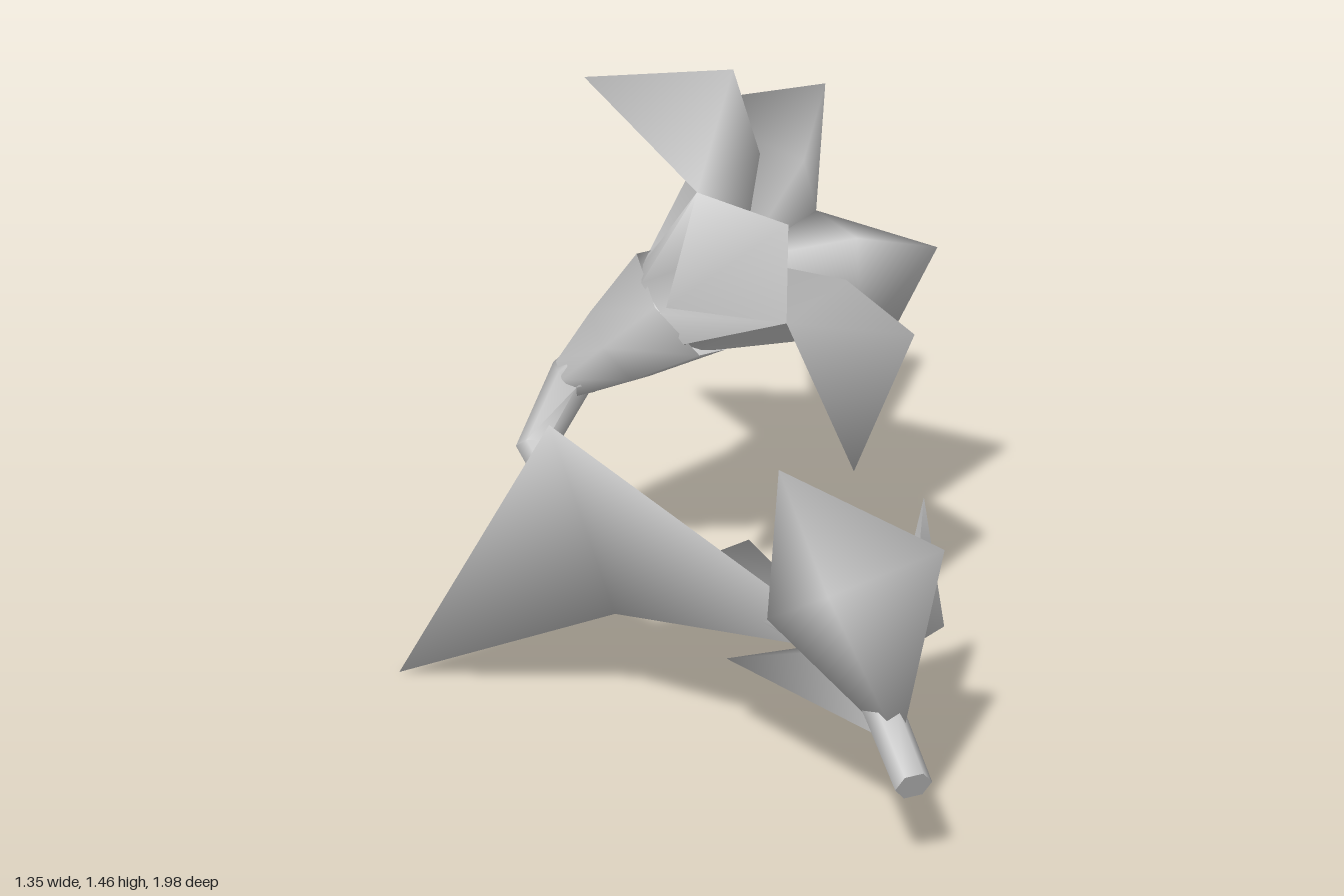
import * as THREE from 'three';
import { mergeVertices, toCreasedNormals } from 'three/addons/utils/BufferGeometryUtils.js';

const V = (x, y, z) => new THREE.Vector3(x, y, z);

// Smooth mesh from a list of corner points, three per face
function smoothMesh(name, corners, material) {
  const geometry = mergeVertices(new THREE.BufferGeometry().setFromPoints(corners), 1e-5);
  geometry.computeVertexNormals();
  const mesh = new THREE.Mesh(geometry, material);
  mesh.name = name;
  return mesh;
}

// Tube with a ring of its own radius at each point of a path
function taperedTube(name, path, radii, sides, material, capStart) {
  const rings = [];
  const q = new THREE.Quaternion();
  let last = V(0, 0, 1);
  path.forEach((p, i) => {
    const a = path[Math.max(i - 1, 0)], b = path[Math.min(i + 1, path.length - 1)];
    const into = p.clone().sub(a).normalize(), out = b.clone().sub(p).normalize();
    const dir = into.add(out).normalize();
    q.premultiply(new THREE.Quaternion().setFromUnitVectors(last, dir));
    last = dir;
    const ring = [];
    for (let s = 0; s < sides; s++) {
      const t = (s / sides) * Math.PI * 2;
      ring.push(V(Math.cos(t), Math.sin(t), 0).multiplyScalar(radii[i]).applyQuaternion(q).add(p));
    }
    rings.push(ring);
  });
  const tris = [];
  for (let i = 0; i < rings.length - 1; i++) {
    for (let s = 0; s < sides; s++) {
      const n = (s + 1) % sides;
      const [a, b, c, d] = [rings[i][s], rings[i][n], rings[i + 1][n], rings[i + 1][s]];
      tris.push(a, b, c, a, c, d);
    }
  }
  if (capStart) {
    for (let s = 0; s < sides; s++) tris.push(path[0], rings[0][(s + 1) % sides], rings[0][s]);
  }
  const geometry = new THREE.BufferGeometry().setFromPoints(tris);
  const mesh = new THREE.Mesh(toCreasedNormals(geometry, 1.2), material);
  mesh.name = name;
  return mesh;
}

export function createModel() {
  const group = new THREE.Group();
  const grey = new THREE.MeshStandardMaterial({ color: 0xcacaca, side: THREE.DoubleSide });
  grey.name = 'plain grey';

  // Flower frame: centre, axis and direction of the first petal
  const centre = V(0.183, 0.96, -0.428);
  const axis = V(0.703, 0.636, 0.318).normalize();
  const first = V(-0.575, 0.772, -0.272).projectOnPlane(axis).normalize();
  const side = axis.clone().cross(first);
  const along = h => centre.clone().addScaledVector(axis, h);

  // Stem, bent through several segments
  group.add(taperedTube('stem', [
    V(0.15, 0.24, 0.975), V(0.145, 0.33, 0.78), V(0.13, 0.41, 0.6), V(-0.06, 0.43, 0.2),
    V(-0.26, 0.37, -0.22), V(-0.29, 0.475, -0.555), along(-0.53), along(-0.5),
  ], [0.046, 0.048, 0.045, 0.045, 0.045, 0.048, 0.056, 0.06], 6, grey, true));

  // Cup behind the flower
  group.add(taperedTube('calyx', [along(-0.53), along(-0.38), along(-0.19)], [0.056, 0.11, 0.165], 6, grey, false));

  // Five folded petals, thin and closed at the rim, running down into a funnel
  const flower = new THREE.Group();
  flower.name = 'flower';
  flower.position.copy(centre);
  flower.quaternion.setFromRotationMatrix(new THREE.Matrix4().makeBasis(first, side, axis));
  const half = Math.PI / 5;
  const polar = (r, a, h) => V(r * Math.cos(a), r * Math.sin(a), h);
  const heart = V(0, 0, 0);
  const fold = polar(0.19, 0, 0.21), bend = polar(0.4, 0, 0.3), tip = polar(0.595, 0, 0);
  const foldUnder = polar(0.19, 0, 0.18), bendUnder = polar(0.39, 0, 0.27);
  const notchA = polar(0.32, -half, 0.1), notchB = polar(0.32, half, 0.1);
  const rootA = polar(0.15, -half, -0.2), rootB = polar(0.15, half, -0.2), root = polar(0.13, 0, -0.2);
  for (let i = 0; i < 5; i++) {
    const petal = smoothMesh('petal', [
      // upper face
      heart, notchA, fold, heart, fold, notchB,
      notchA, bend, fold, fold, bend, notchB,
      notchA, tip, bend, bend, tip, notchB,
      // under face
      notchA, foldUnder, bendUnder, foldUnder, notchB, bendUnder,
      notchA, bendUnder, tip, bendUnder, notchB, tip,
      // funnel
      rootA, root, foldUnder, rootA, foldUnder, notchA,
      root, rootB, notchB, root, notchB, foldUnder,
    ], grey);
    petal.rotation.z = i * 2 * half;
    flower.add(petal);
  }
  group.add(flower);

  // Leaves: base, two wings, keel and tip, thin and closed at the rim
  const leaf = (name, base, wingA, wingB, keel, end) => {
    const hollow = wingA.clone().add(wingB).multiplyScalar(0.5).sub(keel).setLength(0.03).add(keel);
    group.add(smoothMesh(name, [
      base, keel, wingA, base, wingB, keel,
      wingA, keel, end, keel, wingB, end,
      base, wingA, hollow, base, hollow, wingB,
      wingA, end, hollow, hollow, end, wingB,
    ], grey));
  };
  leaf('rightLeaf', V(0.14, 0.42, 0.62), V(0.17, 0.26, -0.34), V(-0.41, 0.775, -0.09),
    V(-0.265, 0.28, -0.03), V(-0.675, 0.003, -0.42));
  leaf('leftLeaf', V(0.16, 0.28, 0.85), V(0.39, 0.655, 0.32), V(-0.06, 0.235, 0.19),
    V(0.32, 0.245, 0.32), V(0.56, 0.11, -0.045));
  leaf('uprightLeaf', V(0.15, 0.29, 0.87), V(-0.04, 0.455, 0.44), V(0.35, 0.655, 0.6),
    V(0.035, 0.615, 0.675), V(-0.065, 0.935, 0.605));

  return group;
}
